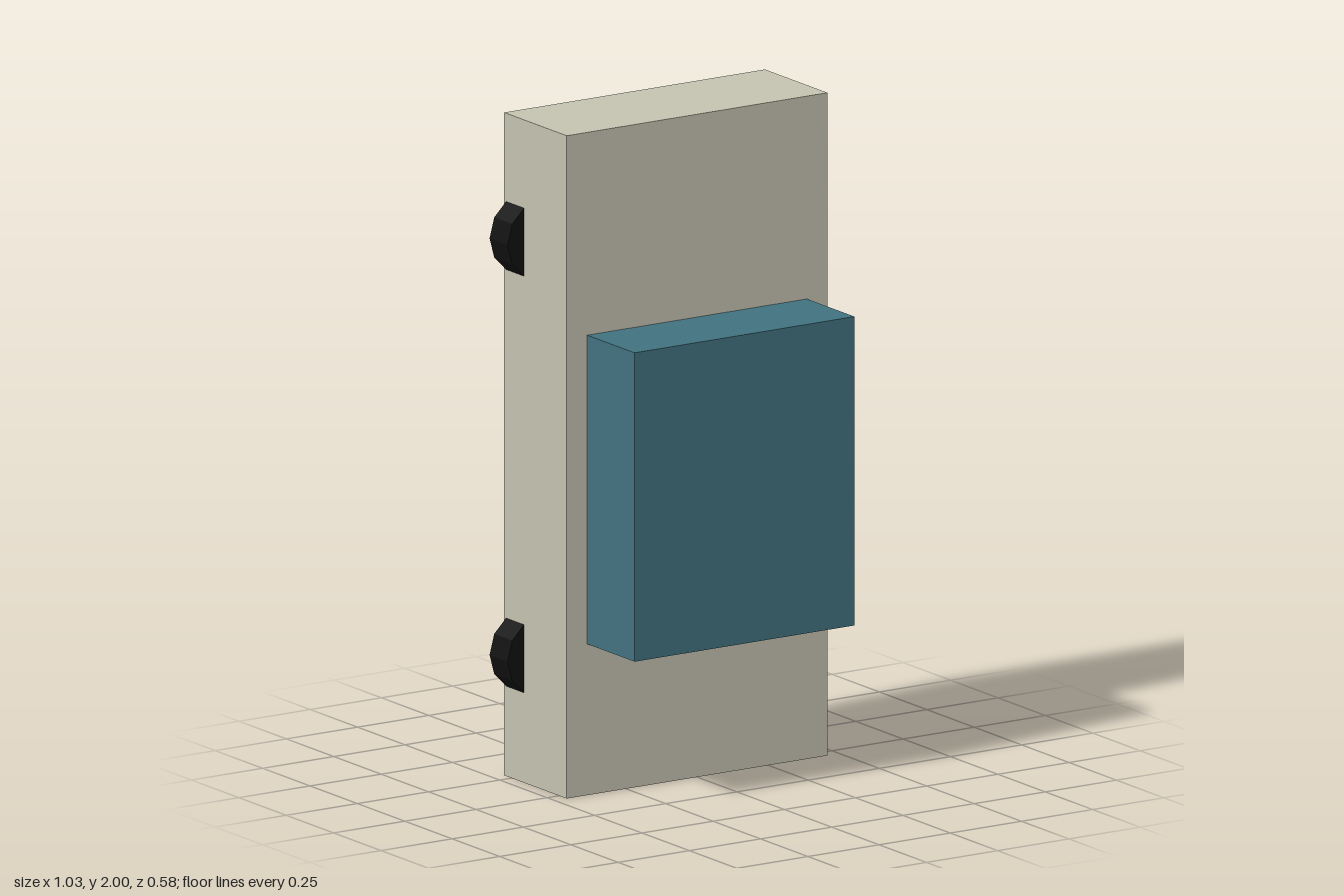
import * as THREE from 'three';

function addMesh(group, name, geometry, color, x, y, z) {
  const material = new THREE.MeshStandardMaterial({ color, flatShading: true });
  const mesh = new THREE.Mesh(geometry, material);
  mesh.name = name;
  mesh.position.set(x, y, z);
  group.add(mesh);
  return mesh;
}

export function createModel() {
  const model = new THREE.Group();
  model.name = 'blockCar';

  // Long slab body
  addMesh(model, 'body', new THREE.BoxGeometry(0.916, 2, 0.33), 0xc4c2b0, 0, 1, -0.125);

  // Cabin block on the front face
  addMesh(model, 'cabin', new THREE.BoxGeometry(0.772, 0.932, 0.25), 0x41717f, 0, 0.922, 0.165);

  // Four low-poly wheels sunk into the sides, axles along z
  const wheel = new THREE.CylinderGeometry(0.122, 0.122, 0.095, 12).rotateX(Math.PI / 2);
  for (const [side, sx] of [['left', 1], ['right', -1]]) {
    for (const [end, y] of [['Upper', 1.631], ['Lower', 0.374]]) {
      addMesh(model, `${side}${end}Wheel`, wheel, 0x111111, sx * 0.394, y, -0.232);
    }
  }
  return model;
}
